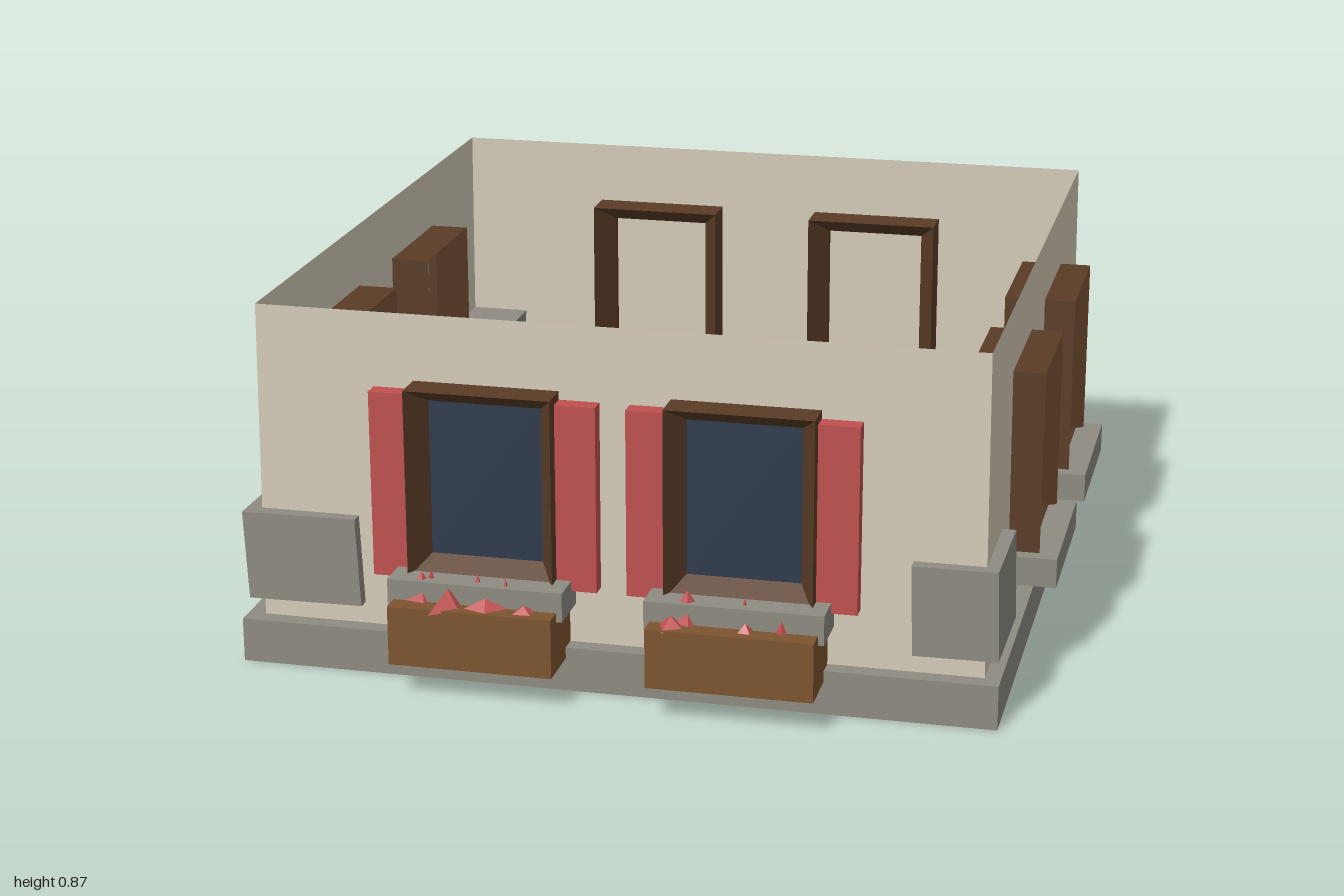
import * as THREE from 'three';

const mat = (color, extra = {}) => new THREE.MeshStandardMaterial({ color, flatShading: true, ...extra });

const stone = mat(0x8f8b82);
const openStone = mat(0x8f8b82, { side: THREE.DoubleSide });
const plaster = mat(0xd5cbb8, { side: THREE.DoubleSide });
const darkWood = mat(0x5a3c26);
const boxWood = mat(0x7d5530);
const red = mat(0xc05050);
const glassMat = mat(0x2f3b4c);

function add(parent, name, geometry, material) {
  const mesh = new THREE.Mesh(geometry, material);
  mesh.name = name;
  parent.add(mesh);
  return mesh;
}

// Box given by its minimum and maximum corners
function span(x0, x1, y0, y1, z0, z1) {
  return new THREE.BoxGeometry(x1 - x0, y1 - y0, z1 - z0)
    .translate((x0 + x1) / 2, (y0 + y1) / 2, (z0 + z1) / 2);
}

// Skin between successive four-cornered loops
function loft(loops) {
  const pos = [];
  for (let i = 0; i < loops.length - 1; i++) {
    for (let k = 0; k < 4; k++) {
      const a = loops[i][k], b = loops[i][(k + 1) % 4];
      const c = loops[i + 1][(k + 1) % 4], d = loops[i + 1][k];
      pos.push(...a, ...b, ...c, ...a, ...c, ...d);
    }
  }
  const geometry = new THREE.BufferGeometry();
  geometry.setAttribute('position', new THREE.Float32BufferAttribute(pos, 3));
  geometry.computeVertexNormals();
  return geometry;
}

// Upright rectangle, counter-clockwise seen from +z
const rect = (w, y0, y1, z) => [[-w, y0, z], [w, y0, z], [w, y1, z], [-w, y1, z]];

// Frame with a flat outside and a bevelled opening on both faces
const frameGeometry = loft([
  rect(0.172, 0.258, 0.71, -0.1),
  rect(0.172, 0.258, 0.71, 0.075),
  rect(0.128, 0.305, 0.665, -0.0),
  rect(0.128, 0.305, 0.665, -0.025),
  rect(0.172, 0.258, 0.71, -0.1),
]);

// Sill, hollow underneath
const sillGeometry = span(-0.207, 0.207, 0.2, 0.27, -0.06, 0.12);
const sillIndex = Array.from(sillGeometry.index.array);
sillIndex.splice(18, 6); // drop the bottom face
sillGeometry.setIndex(sillIndex);

// Window in local space, with the wall plane at z = 0
function makeWindow() {
  const win = new THREE.Group();
  win.name = 'window';
  add(win, 'windowFrame', frameGeometry, darkWood);
  add(win, 'windowSill', sillGeometry, openStone);
  add(win, 'windowGlass', new THREE.PlaneGeometry(0.268, 0.374), glassMat).position.set(0, 0.485, 0.008);
  return win;
}

// Flowers as [x, z, radius, height, turn]
const flowerSets = [
  [[-0.13, 0.1, 0.05, 0.07, 0.4], [-0.06, 0.13, 0.065, 0.045, 1.1], [0.03, 0.13, 0.06, 0.03, 0.2],
   [0.12, 0.13, 0.04, 0.02, 0.8], [-0.11, 0.09, 0.025, 0.075, 0], [0.0, 0.09, 0.025, 0.075, 0.9], [0.07, 0.1, 0.02, 0.07, 0.5]],
  [[-0.11, 0.1, 0.055, 0.08, 0.3], [-0.14, 0.135, 0.04, 0.03, 1.2], [0.03, 0.13, 0.025, 0.025, 0.7],
   [0.11, 0.11, 0.025, 0.055, 0.1], [0.02, 0.09, 0.018, 0.07, 0.5]],
];

// Shutters and planter around a front window
function dressWindow(win, flowers) {
  for (const s of [-1, 1]) {
    add(win, 'shutter', span(-0.05, 0.05, 0.245, 0.69, -0.03, 0.037), red).position.x = s * 0.217;
  }
  add(win, 'flowerBox', span(-0.193, 0.193, 0.08, 0.222, -0.065, 0.168), boxWood);
  for (const [x, z, r, h, turn] of flowers) {
    const flower = add(win, 'flower', new THREE.ConeGeometry(r, h, 4), red);
    flower.position.set(x, 0.217 + h / 2, z);
    flower.rotation.y = turn;
    flower.scale.z = Math.min(1, 0.035 / r);
  }
}

// Corner block, leaning slightly and tapering to an uneven foot
function cornerStone(x0, x1, z0, z1, lean) {
  const geometry = span(x0, x1, 0.158, 0.372, z0, z1);
  const p = geometry.attributes.position;
  const midX = (x0 + x1) / 2, midZ = (z0 + z1) / 2;
  for (let i = 0; i < p.count; i++) {
    const right = p.getX(i) > midX, front = p.getZ(i) > midZ;
    if (p.getY(i) < 0.2) p.setX(i, p.getX(i) + lean);
    if (right) p.setZ(i, p.getZ(i) - lean * 0.7);
    if (front) p.setX(i, p.getX(i) - lean * 0.4);
  }
  geometry.computeVertexNormals();
  return geometry;
}

export function createModel() {
  const model = new THREE.Group();
  model.name = 'houseStorey';

  // Foundation slab
  add(model, 'foundation', span(-0.897, 0.892, 0, 0.106, -0.917, 0.872), stone);

  // Thin walls, open at the top
  const wallLoop = (h, y) => [[-h, y, h - 0.025], [h, y, h - 0.025], [h, y, -h - 0.025], [-h, y, -h - 0.025]];
  add(model, 'walls', loft([wallLoop(0.855, 0.1), wallLoop(0.849, 0.868)]), plaster);

  // Two windows on each side
  const sides = [
    { name: 'front', turn: 0, x: 0, z: 0.83 },
    { name: 'right', turn: Math.PI / 2, x: 0.851, z: -0.025 },
    { name: 'back', turn: Math.PI, x: 0, z: -0.881 },
    { name: 'left', turn: -Math.PI / 2, x: -0.853, z: -0.025 },
  ];
  for (const { name, turn, x, z } of sides) {
    const wall = new THREE.Group();
    wall.name = name + 'Windows';
    wall.position.set(x, 0, z);
    wall.rotation.y = turn;
    [-0.302, 0.302].forEach((offset, i) => {
      const win = makeWindow();
      win.position.x = offset;
      if (name === 'front') dressWindow(win, flowerSets[i]);
      wall.add(win);
    });
    model.add(wall);
  }

  // Corner stones
  const corners = [
    [-0.885, -0.612, 0.665, 0.865, 0.01],
    [0.69, 0.885, 0.583, 0.862, 0.006],
    [0.615, 0.885, -0.908, -0.718, -0.008],
    [-0.893, -0.702, -0.908, -0.637, -0.006],
  ];
  for (const c of corners) add(model, 'cornerStone', cornerStone(...c), stone);

  return model;
}
